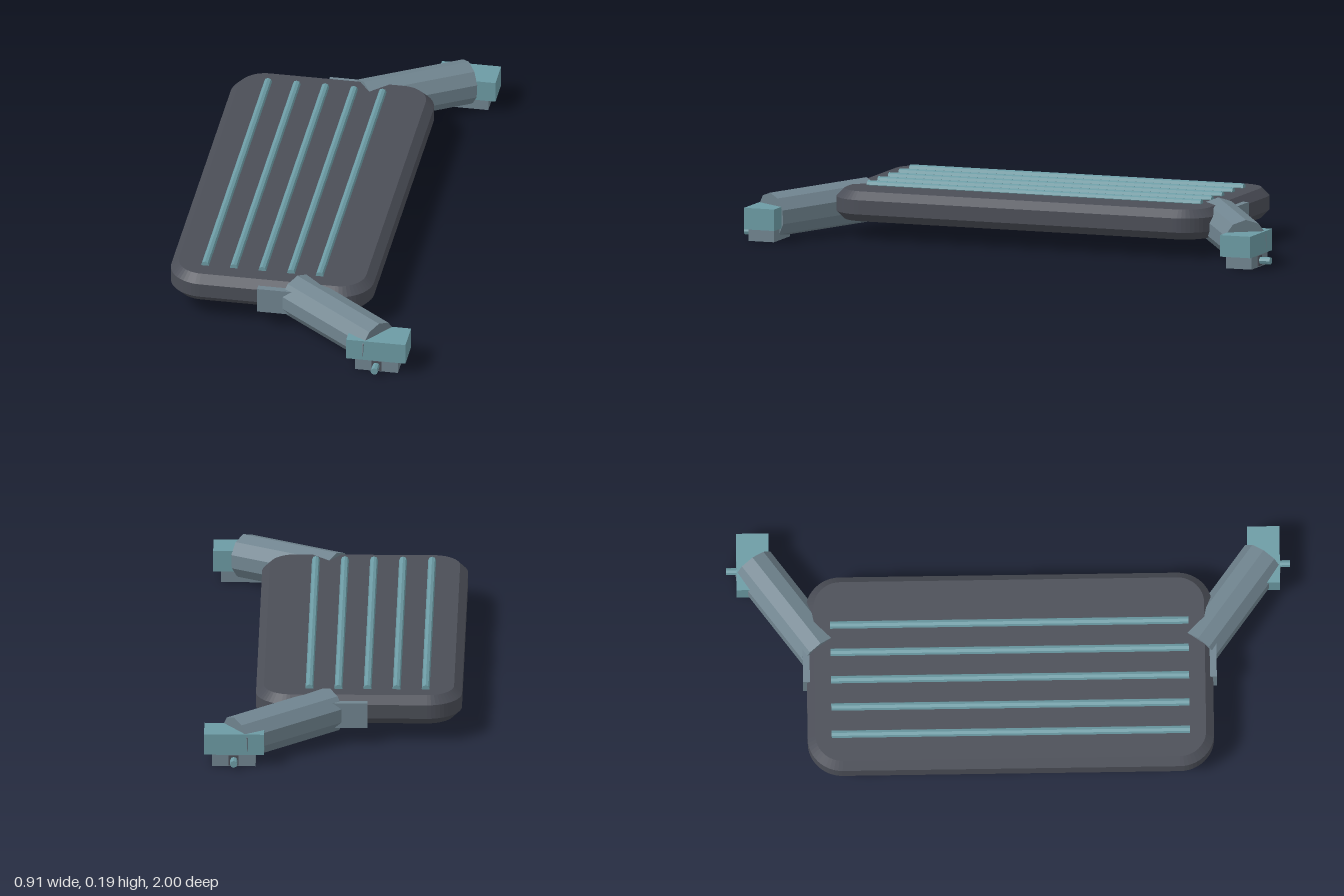
import * as THREE from 'three';

const mat = (name, color) => {
  const m = new THREE.MeshStandardMaterial({ color, flatShading: true });
  m.name = name;
  return m;
};

export function createModel() {
  const model = new THREE.Group();
  model.name = 'deckWithArms';
  const charcoal = mat('charcoal', 0x4b4e57);
  const steel = mat('steelGrey', 0x70848f);
  const teal = mat('dustyTeal', 0x6c9ba4);

  const add = (parent, name, geometry, material, x = 0, y = 0, z = 0) => {
    const mesh = new THREE.Mesh(geometry, material);
    mesh.name = name;
    mesh.position.set(x, y, z);
    parent.add(mesh);
    return mesh;
  };
  // Box given by its limits on each axis
  const addBox = (parent, name, material, [x0, x1], [y0, y1], [z0, z1]) =>
    add(parent, name, new THREE.BoxGeometry(x1 - x0, y1 - y0, Math.abs(z1 - z0)), material,
      (x0 + x1) / 2, (y0 + y1) / 2, (z0 + z1) / 2);

  // Deck: rounded rectangle with one chamfer above and below
  const bevel = 0.028, w = 0.365 - bevel, h = 0.72 - bevel, r = 0.095;
  const outline = new THREE.Shape();
  outline.absarc(w - r, h - r, r, 0, Math.PI / 2);
  outline.absarc(-w + r, h - r, r, Math.PI / 2, Math.PI);
  outline.absarc(-w + r, -h + r, r, Math.PI, Math.PI * 1.5);
  outline.absarc(w - r, -h + r, r, Math.PI * 1.5, Math.PI * 2);
  const deck = new THREE.ExtrudeGeometry(outline, {
    depth: 0.107 - 2 * bevel, bevelThickness: bevel, bevelSize: bevel, bevelSegments: 1, curveSegments: 6,
  });
  deck.rotateX(-Math.PI / 2);
  add(model, 'deck', deck, charcoal, -0.09, 0.065 + bevel, 0);

  // Grip ribs running along the deck
  for (let i = 0; i < 5; i++) {
    const rib = new THREE.CylinderGeometry(0.014, 0.014, 1.27, 8);
    rib.rotateX(Math.PI / 2);
    add(model, 'gripRib', rib, teal, -0.327 + i * 0.103, 0.174, 0);
  }

  // One arm at each end, mirrored in z
  for (const s of [1, -1]) {
    const arm = new THREE.Group();
    arm.name = s > 0 ? 'frontArm' : 'backArm';
    model.add(arm);

    addBox(arm, 'mountBracket', steel, [-0.122, 0.1], [0.062, 0.155], [s * 0.64, s * 0.733]);

    // Ten-sided tube sloping outward and slightly down
    const start = new THREE.Vector3(0.008, 0.107, s * 0.667);
    const end = new THREE.Vector3(0.344, 0.085, s * 0.903);
    const tube = new THREE.CylinderGeometry(0.08, 0.08, start.distanceTo(end), 10);
    tube.rotateX(Math.PI / 2);
    const mid = start.clone().lerp(end, 0.5);
    add(arm, 'armTube', tube, steel, mid.x, mid.y, mid.z).lookAt(end);

    // Clamp head, lower block and pin
    addBox(arm, 'clampHead', teal, [0.24, 0.453], [0.045, 0.122], [s * 0.848, s * 0.963]);
    addBox(arm, 'lowerBlock', steel, [0.27, 0.425], [0, 0.06], [s * 0.86, s * 0.957]);
    addBox(arm, 'pinSeat', charcoal, [0.33, 0.366], [0.004, 0.041], [s * 0.954, s * 0.96]);
    const pin = new THREE.CylinderGeometry(0.013, 0.013, 0.06, 8);
    pin.rotateX(Math.PI / 2);
    add(arm, 'pin', pin, teal, 0.347, 0.023, s * 0.97);
  }
  return model;
}
